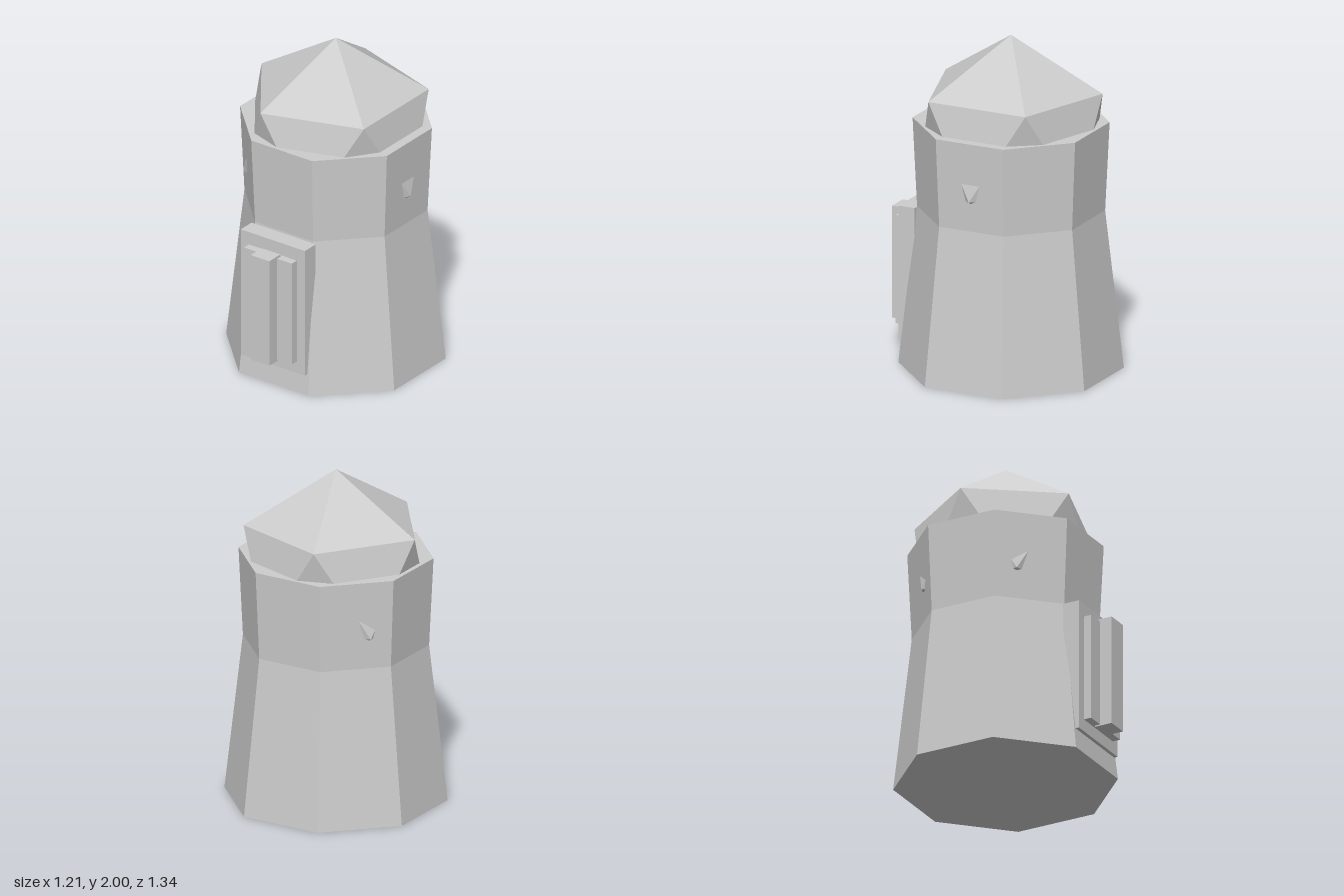
import * as THREE from 'three';

export function createModel() {
  const model = new THREE.Group();
  const stone = new THREE.MeshStandardMaterial({ color: 0xcccccc, flatShading: true });
  stone.name = 'plain grey';
  const axisZ = -0.067; // the tower axis sits behind the origin, balancing the door

  const add = (name, geometry, x, y, z) => {
    const mesh = new THREE.Mesh(geometry, stone);
    mesh.name = name;
    mesh.position.set(x, y, z);
    model.add(mesh);
    return mesh;
  };

  // Eight-sided tower, tapering to a waist and flaring to the rim; closed at both ends
  const outline = [[0, 0], [0.603, 0], [0.503, 0.95], [0.527, 1.485], [0, 1.485]];
  const profile = outline.map(([a, y]) => new THREE.Vector2(a / Math.cos(Math.PI / 8), y));
  add('tower', new THREE.LatheGeometry(profile, 8, Math.PI / 8), 0, 0, axisZ);

  // Faceted dome standing on one corner; its lower corners poke through the walls
  const dome = new THREE.IcosahedronGeometry(0.598, 0);
  dome.rotateX(-Math.atan((1 + Math.sqrt(5)) / 2));
  dome.rotateY(-Math.PI / 2);
  add('dome', dome, 0, 1.402, axisZ);

  // Door: stepped blocks given as half width, bottom, top, back, front
  const blocks = {
    doorFrame: [0.23, 0.13, 0.94, 0.44, 0.545],
    doorPanel: [0.172, 0.205, 0.86, 0.5, 0.593],
    doorBar: [0.067, 0.197, 0.875, 0.562, 0.67],
  };
  for (const [name, [w, y0, y1, z0, z1]] of Object.entries(blocks)) {
    add(name, new THREE.BoxGeometry(2 * w, y1 - y0, z1 - z0), 0, (y0 + y1) / 2, (z0 + z1) / 2);
  }

  return model;
}
